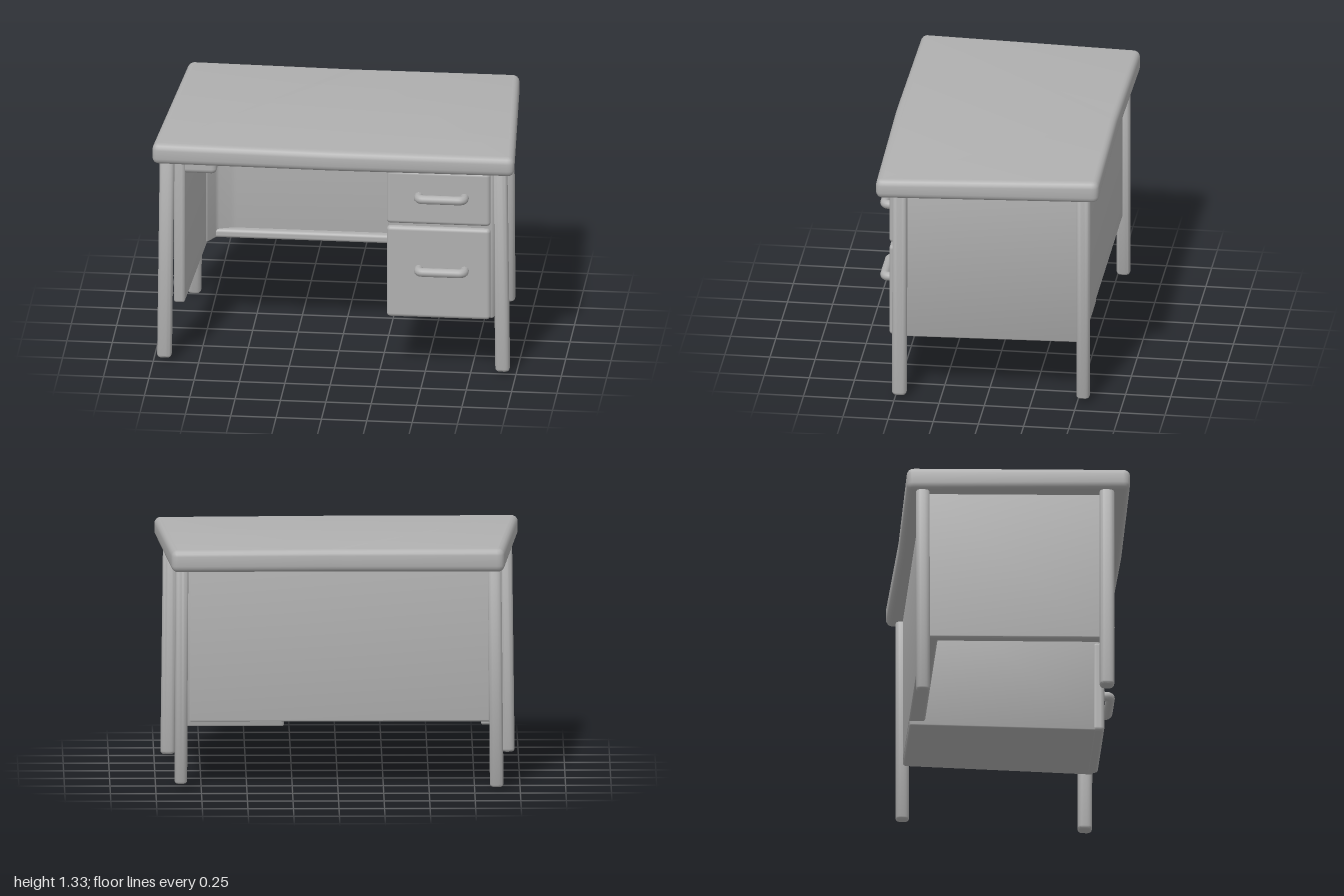
import * as THREE from 'three';
import { toCreasedNormals } from 'three/addons/utils/BufferGeometryUtils.js';
import { RoundedBoxGeometry } from 'three/addons/geometries/RoundedBoxGeometry.js';

const grey = new THREE.MeshStandardMaterial({ color: 0xb0b0b0 });
grey.name = 'grey';

// Outline through [x, z] corners, each corner rounded by radius r
function outline(points, r) {
  const shape = new THREE.Shape();
  const p = points.map(([x, z]) => new THREE.Vector2(x, -z));
  p.forEach((c, i) => {
    const towards = (q) => {
      const d = q.clone().sub(c);
      return c.clone().add(d.setLength(Math.min(r, d.length() * 0.45)));
    };
    const a = towards(p[(i + p.length - 1) % p.length]);
    const b = towards(p[(i + 1) % p.length]);
    if (i === 0) shape.moveTo(a.x, a.y);
    else shape.lineTo(a.x, a.y);
    shape.quadraticCurveTo(c.x, c.y, b.x, b.y);
  });
  shape.closePath();
  return shape;
}

// Upright solid with a floor-plan outline (counter-clockwise from above) and soft edges
function slab(name, points, y0, y1, bevel, radius, warp) {
  const geometry = new THREE.ExtrudeGeometry(outline(points, radius), {
    depth: y1 - y0 - 2 * bevel, steps: 1, curveSegments: 5,
    bevelEnabled: true, bevelSize: bevel, bevelThickness: bevel, bevelOffset: -bevel, bevelSegments: 4,
  });
  geometry.rotateX(-Math.PI / 2).translate(0, y0 + bevel, 0);
  if (warp) {
    const pos = geometry.attributes.position;
    for (let i = 0; i < pos.count; i++) {
      const v = new THREE.Vector3().fromBufferAttribute(pos, i);
      warp(v);
      pos.setXYZ(i, v.x, v.y, v.z);
    }
  }
  const mesh = new THREE.Mesh(toCreasedNormals(geometry, 0.7), grey);
  mesh.name = name;
  return mesh;
}

function block(name, x0, x1, y0, y1, z0, z1, r) {
  const mesh = new THREE.Mesh(new RoundedBoxGeometry(x1 - x0, y1 - y0, z1 - z0, 4, r), grey);
  mesh.position.set((x0 + x1) / 2, (y0 + y1) / 2, (z0 + z1) / 2);
  mesh.name = name;
  return mesh;
}

// Leg that leans slightly outward towards the floor
function leg(name, xTop, xFoot, z, y0, width, depth) {
  const w = width / 2, d = depth / 2;
  return slab(name, [[-w, z + d], [w, z + d], [w, z - d], [-w, z - d]], y0, 1.23, 0.018, 0.03, (v) => {
    v.x += THREE.MathUtils.lerp(xFoot, xTop, v.y / 1.23);
  });
}

// Bent bar handle with both ends sunk into the drawer front
function handle(name, y) {
  const path = new THREE.CurvePath();
  const V = (x, z) => new THREE.Vector3(x, y, z);
  path.add(new THREE.LineCurve3(V(0.468, 0.52), V(0.468, 0.56)));
  path.add(new THREE.QuadraticBezierCurve3(V(0.468, 0.56), V(0.468, 0.59), V(0.498, 0.59)));
  path.add(new THREE.LineCurve3(V(0.498, 0.59), V(0.69, 0.59)));
  path.add(new THREE.QuadraticBezierCurve3(V(0.69, 0.59), V(0.72, 0.59), V(0.72, 0.56)));
  path.add(new THREE.LineCurve3(V(0.72, 0.56), V(0.72, 0.52)));
  const mesh = new THREE.Mesh(new THREE.TubeGeometry(path, 48, 0.025, 12), grey);
  mesh.name = name;
  return mesh;
}

export function createModel() {
  const desk = new THREE.Group();
  desk.name = 'desk';

  // Worktop, wider at the front, with a slightly uneven surface
  desk.add(slab('worktop', [
    [-1, 0.603], [0, 0.617], [1, 0.603], [0.912, -0.62], [0, -0.607], [-0.912, -0.62],
  ], 1.205, 1.325, 0.035, 0.04, (v) => {
    if (v.y > 1.26) v.y -= 0.01 * v.z + 0.004 * v.x;
  }));

  // Legs
  desk.add(
    leg('frontLeftLeg', 0.91, 0.925, 0.478, 0.015, 0.08, 0.08),
    leg('frontRightLeg', -0.925, -0.94, 0.478, 0.025, 0.08, 0.08),
    leg('backLeftLeg', 0.855, 0.862, -0.53, 0.02, 0.07, 0.075),
    leg('backRightLeg', -0.86, -0.872, -0.53, 0, 0.075, 0.075),
  );

  // Side panel, and back panel with a softened inner corner
  desk.add(slab('sidePanel', [
    [-0.89, 0.47], [-0.83, 0.47], [-0.785, -0.52], [-0.84, -0.52],
  ], 0.34, 1.22, 0.012, 0.015));
  desk.add(slab('backPanel', [
    [-0.84, -0.36], [-0.79, -0.36], [-0.74, -0.45], [-0.65, -0.48],
    [0.82, -0.48], [0.82, -0.53], [-0.84, -0.53],
  ], 0.36, 1.22, 0.01, 0.015));
  desk.add(block('backPanelLip', -0.8, 0.32, 0.36, 0.41, -0.51, -0.44, 0.018));

  // Drawer cabinet running the full depth
  desk.add(slab('drawerCabinet', [
    [0.295, 0.52], [0.882, 0.52], [0.838, -0.528], [0.295, -0.528],
  ], 0.335, 1.22, 0.012, 0.015));

  // Drawer fronts with handles
  desk.add(
    block('upperDrawer', 0.29, 0.862, 0.885, 1.2, 0.48, 0.545, 0.022),
    block('lowerDrawer', 0.29, 0.862, 0.332, 0.868, 0.48, 0.545, 0.022),
    handle('upperHandle', 1.053),
    handle('lowerHandle', 0.622),
  );

  // Small tray tucked under the worktop
  desk.add(block('underTray', -0.85, -0.655, 1.1, 1.22, 0.12, 0.46, 0.03));

  return desk;
}
